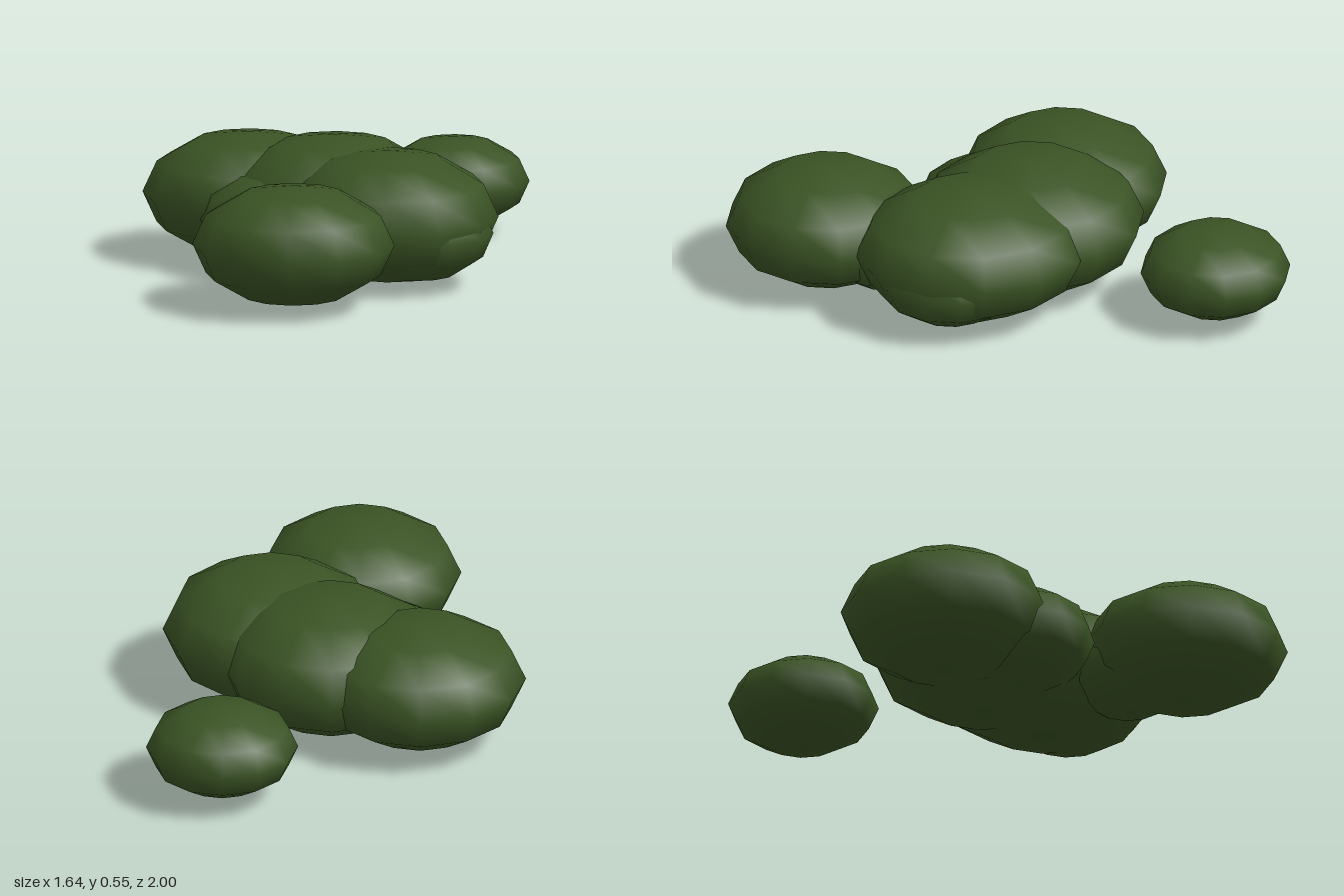
import * as THREE from 'three';

export function createModel() {
  const group = new THREE.Group();
  group.name = 'shrubCluster';

  const foliage = new THREE.MeshStandardMaterial({ color: 0x3a5324 });
  foliage.name = 'foliage green';

  // Twelve-sided smooth clump, turned so flat sides face the axes
  const clump = new THREE.SphereGeometry(1, 12, 6);
  clump.rotateY(Math.PI / 12);
  const flat = Math.cos(Math.PI / 12);

  // name, centre x, centre z, half width, half depth, bottom, top
  const bushes = [
    ['frontRightBush', -0.425, 0.6, 0.395, 0.4, 0.02, 0.505],
    ['backRightBush', -0.39, -0.42, 0.415, 0.41, 0.015, 0.52],
    ['middleBush', -0.09, -0.15, 0.44, 0.45, 0.0, 0.55],
    ['frontLeftBush', 0.06, 0.17, 0.43, 0.465, 0.01, 0.54],
    ['separateBush', 0.52, -0.705, 0.297, 0.295, 0.035, 0.4],
    // Smaller clumps filling the gaps
    ['sideFillBush', -0.335, -0.09, 0.32, 0.3, 0.03, 0.43],
    ['frontFillBush', -0.24, 0.42, 0.265, 0.26, 0.035, 0.38],
    ['lowerLeftBush', 0.15, 0.3, 0.3, 0.3, 0.03, 0.42],
  ];

  for (const [name, x, z, halfW, halfD, bottom, top] of bushes) {
    const mesh = new THREE.Mesh(clump, foliage);
    mesh.name = name;
    mesh.position.set(x, (bottom + top) / 2, z);
    mesh.scale.set(halfW / flat, (top - bottom) / 2, halfD / flat);
    group.add(mesh);
  }
  return group;
}
